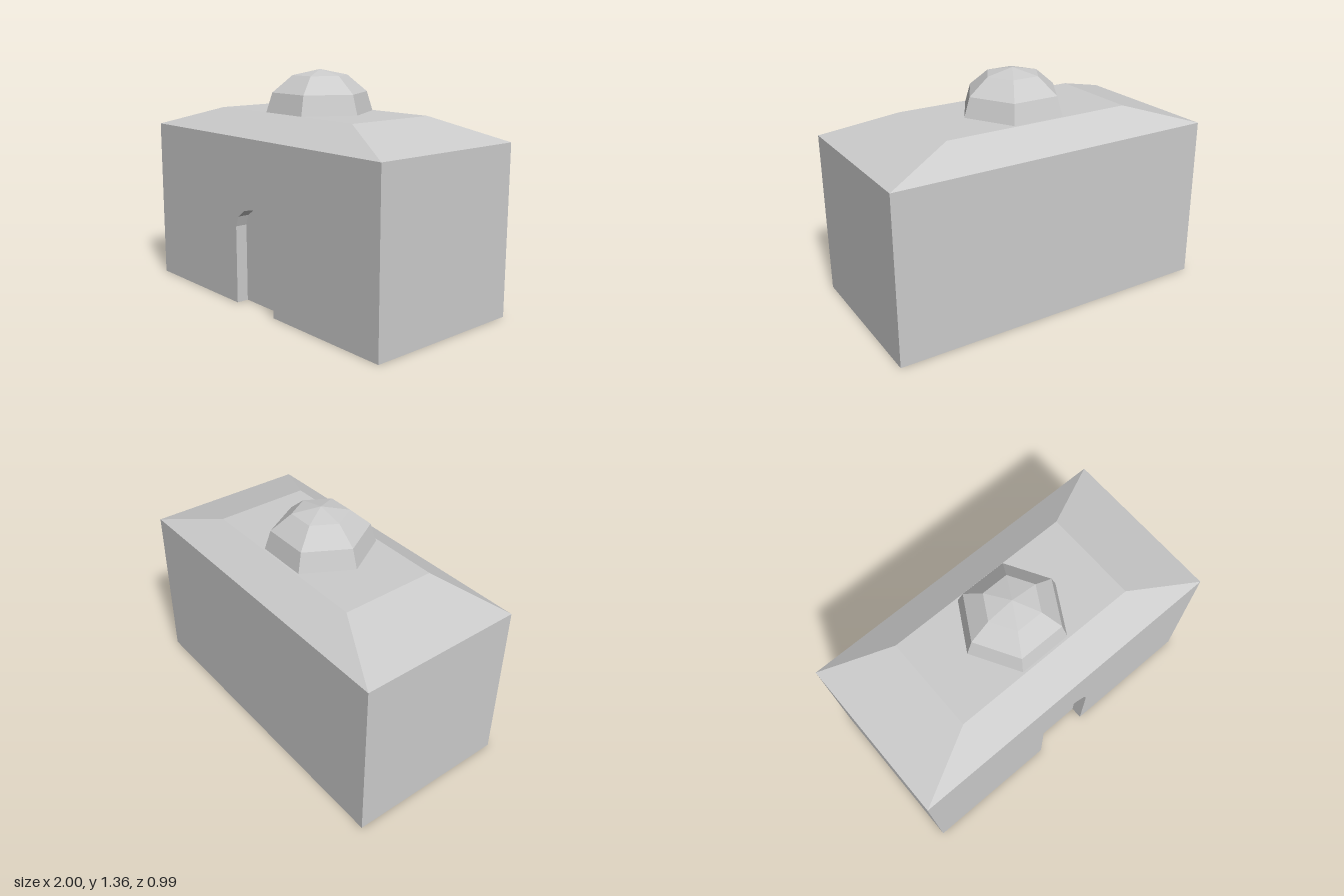
import * as THREE from 'three';

const HALF_DEPTH = 0.495, WALL_HEIGHT = 0.99, ROOF_TOP = 1.113;
const DOOR_HALF = 0.173, DOOR_SPRING = 0.463, ARCH_RISE = 0.125, RECESS = 0.073;

export function createModel() {
  const group = new THREE.Group();
  const material = new THREE.MeshStandardMaterial({ color: 0xcccccc, flatShading: true });
  const add = (name, geometry) => {
    const mesh = new THREE.Mesh(geometry, material);
    mesh.name = name;
    group.add(mesh);
    return mesh;
  };

  // Main block, ending at the back of the door recess
  const blockDepth = 2 * HALF_DEPTH - RECESS;
  add('body', new THREE.BoxGeometry(2, WALL_HEIGHT, blockDepth))
    .position.set(0, WALL_HEIGHT / 2, -RECESS / 2);

  // Front wall layer with the arched doorway cut out of its lower edge
  const wall = new THREE.Shape();
  wall.moveTo(-1, 0);
  wall.lineTo(-DOOR_HALF, 0);
  for (let i = 0; i <= 6; i++) {
    const a = Math.PI * (1 - i / 6);
    wall.lineTo(DOOR_HALF * Math.cos(a), DOOR_SPRING + ARCH_RISE * Math.sin(a));
  }
  wall.lineTo(DOOR_HALF, 0);
  wall.lineTo(1, 0);
  wall.lineTo(1, WALL_HEIGHT);
  wall.lineTo(-1, WALL_HEIGHT);
  wall.closePath();
  add('frontWall', new THREE.ExtrudeGeometry(wall, { depth: RECESS, bevelEnabled: false }))
    .position.z = HALF_DEPTH - RECESS;

  // Hipped roof with a flat top
  const roofHeight = ROOF_TOP - WALL_HEIGHT;
  const roof = new THREE.CylinderGeometry(0.582 * Math.SQRT2, Math.SQRT2, roofHeight, 4);
  roof.rotateY(Math.PI / 4).scale(1, 1, HALF_DEPTH);
  add('roof', roof).position.y = WALL_HEIGHT + roofHeight / 2;

  // Six-sided faceted dome with corners on the x axis
  const profile = [[0.318, ROOF_TOP], [0.282, 1.227], [0.163, 1.326], [0, 1.36]]
    .map(([r, y]) => new THREE.Vector2(r, y));
  add('dome', new THREE.LatheGeometry(profile, 6, Math.PI / 2));

  return group;
}
